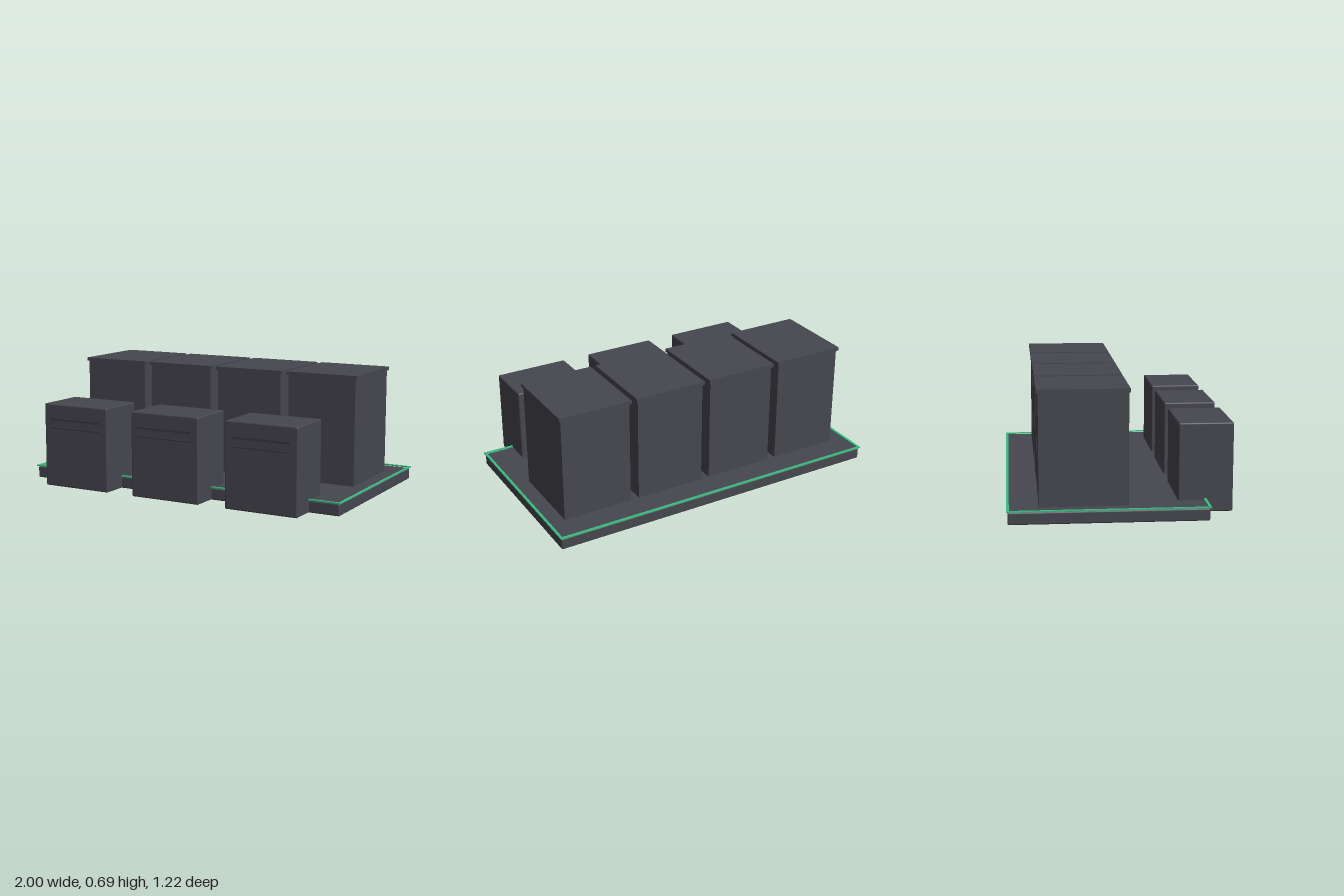
import * as THREE from 'three';
import { RoundedBoxGeometry } from 'three/addons/geometries/RoundedBoxGeometry.js';

export function createModel() {
  const model = new THREE.Group();
  model.name = 'cabinetPlatform';

  const mat = (name, color) => {
    const m = new THREE.MeshStandardMaterial({ color });
    m.name = name;
    return m;
  };
  const charcoal = mat('charcoal', 0x46464f);
  const slate = mat('darkSlate', 0x383842);
  const green = mat('trimGreen', 0x3dba82);

  // Box given by its min and max corners; a radius rounds the edges
  const box = (parent, name, material, [x0, y0, z0], [x1, y1, z1], radius = 0) => {
    const size = [x1 - x0, y1 - y0, z1 - z0];
    const geometry = radius
      ? new RoundedBoxGeometry(...size, 2, radius)
      : new THREE.BoxGeometry(...size);
    const mesh = new THREE.Mesh(geometry, material);
    mesh.name = name;
    mesh.position.set((x0 + x1) / 2, (y0 + y1) / 2, (z0 + z1) / 2);
    parent.add(mesh);
  };

  // Platform slab
  box(model, 'platform', charcoal, [-0.993, 0, -0.605], [0.993, 0.067, 0.455], 0.008);

  // Thin trim frame around the platform's upper edge
  const rect = (path, x, z0, z1) => {
    path.moveTo(-x, -z1);
    path.lineTo(x, -z1);
    path.lineTo(x, -z0);
    path.lineTo(-x, -z0);
    path.closePath();
    return path;
  };
  const frame = rect(new THREE.Shape(), 1, -0.612, 0.462);
  frame.holes.push(rect(new THREE.Path(), 0.985, -0.597, 0.447));
  const trim = new THREE.Mesh(
    new THREE.ExtrudeGeometry(frame, { depth: 0.007, bevelEnabled: false }), green);
  trim.name = 'edgeTrim';
  trim.rotation.x = -Math.PI / 2;
  trim.position.y = 0.069;
  model.add(trim);

  // Four tall cabinets with overhanging lids
  for (let i = 0; i < 4; i++) {
    const cabinet = new THREE.Group();
    cabinet.name = `tallCabinet${i + 1}`;
    cabinet.position.x = -0.694 + i * 0.4615;
    box(cabinet, 'cabinetBody', charcoal, [-0.205, 0.06, -0.44], [0.205, 0.675, 0.035]);
    box(cabinet, 'cabinetLid', charcoal, [-0.215, 0.675, -0.45], [0.215, 0.695, 0.042]);
    model.add(cabinet);
  }

  // Three low front units, each with two slats
  for (let i = 0; i < 3; i++) {
    const unit = new THREE.Group();
    unit.name = `frontUnit${i + 1}`;
    unit.position.x = -0.602 + i * 0.601;
    box(unit, 'unitBody', charcoal, [-0.217, 0.001, 0.308], [0.217, 0.489, 0.605], 0.008);
    box(unit, 'upperSlat', slate, [-0.174, 0.395, 0.6], [0.174, 0.407, 0.612]);
    box(unit, 'lowerSlat', slate, [-0.174, 0.346, 0.6], [0.174, 0.354, 0.612]);
    model.add(unit);
  }

  return model;
}
